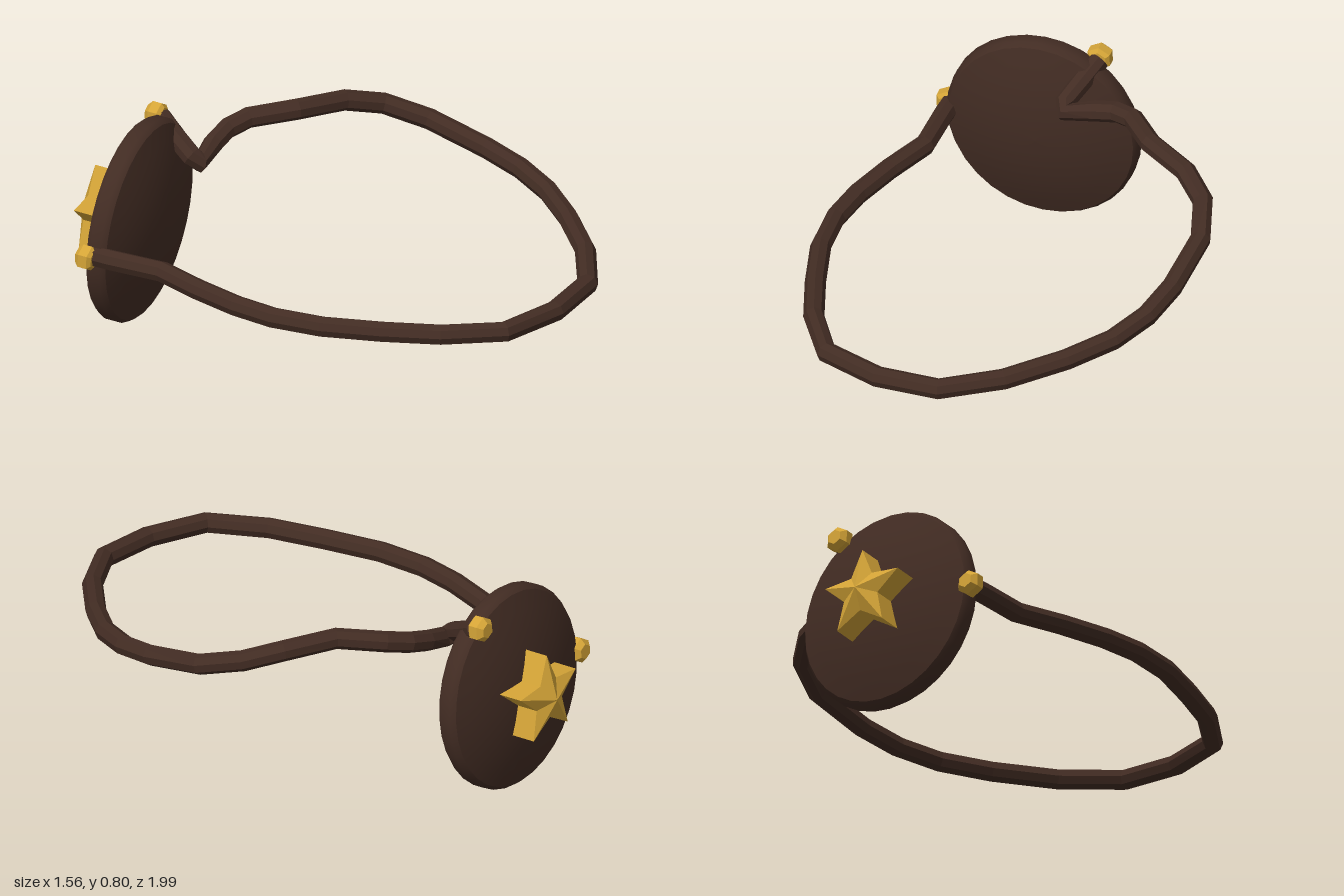
import * as THREE from 'three';

const leather = new THREE.MeshStandardMaterial({ color: 0x422c23, side: THREE.DoubleSide });
leather.name = 'dark brown leather';
const strapLeather = leather;
const gold = new THREE.MeshStandardMaterial({ color: 0xd4a437 });
gold.name = 'gold';

function part(name, geometry, material, parent) {
  const mesh = new THREE.Mesh(geometry, material);
  mesh.name = name;
  parent.add(mesh);
  return mesh;
}

// Surface of revolution around z
function turned(profile, sides) {
  const g = new THREE.LatheGeometry(profile.map(([r, z]) => new THREE.Vector2(r, z)), sides);
  return g.rotateX(Math.PI / 2);
}

// Facet every face of a geometry
function faceted(geometry) {
  const g = geometry.toNonIndexed();
  g.computeVertexNormals();
  return g;
}

// Shallow dome profile from rim height z0 to crown height z1
function dome(z0, z1, radius) {
  const pts = [];
  for (let i = 0; i <= 6; i++) {
    const r = radius * (1 - i / 6);
    pts.push([r, z1 + (z0 - z1) * (r / radius) ** 2]);
  }
  return pts;
}

// Five-pointed star with straight walls and a ridged, pointed face
function starGeometry(outer, inner, base, edge, apex) {
  const ring = (i, z) => {
    const a = Math.PI / 2 + (i * Math.PI) / 5;
    const r = i % 2 ? inner : outer;
    return [r * Math.cos(a), r * Math.sin(a), z];
  };
  const v = [];
  for (let i = 0; i < 10; i++) {
    const a = ring(i, base), b = ring(i + 1, base);
    const c = ring(i + 1, edge), d = ring(i, edge);
    v.push(...a, ...b, ...c, ...a, ...c, ...d);
    v.push(...d, ...c, 0, 0, apex);
    v.push(...b, ...a, 0, 0, base);
  }
  const g = new THREE.BufferGeometry();
  g.setAttribute('position', new THREE.Float32BufferAttribute(v, 3));
  g.computeVertexNormals();
  return g;
}

export function createModel() {
  const model = new THREE.Group();
  model.name = 'eyePatch';

  // Round patch, turned and leaning slightly
  const patch = new THREE.Group();
  patch.name = 'patch';
  patch.position.set(-0.36, 0.405, -0.77);
  patch.rotation.set(0.06, 0.262, 0, 'YXZ');
  model.add(patch);

  const disc = new THREE.Group();
  disc.name = 'disc';
  disc.scale.x = 0.945;
  patch.add(disc);
  part('innerDome', turned(dome(0.04, 0.11, 0.385), 32), leather, disc);
  part('outerDome', turned(dome(-0.04, -0.11, 0.385).reverse(), 32), leather, disc);
  part('rim', turned([[0.385, -0.04], [0.4, -0.02], [0.4, 0.02], [0.385, 0.04]], 32), leather, disc);

  // Star on the outer face
  const star = part('star', starGeometry(0.174, 0.08, 0.09, 0.195, 0.235), gold, patch);
  star.rotation.y = Math.PI;

  // Hexagonal studs holding the strap
  const studProfile = [[0, -0.035], [0.03, -0.035], [0.05, -0.015], [0.05, 0.02], [0.035, 0.033], [0, 0.033]];
  [[-0.385, 0, -0.03], [0.21, 0.335, -0.055]].forEach((p, i) => {
    const stud = part(i ? 'upperStud' : 'sideStud', faceted(turned(studProfile, 6)), gold, patch);
    stud.position.set(...p);
  });

  // Strap: one loop from the side stud round to the upper stud
  const path = [
    [-0.72, 0.41, -0.7], [-0.7, 0.41, -0.6], [-0.65, 0.41, -0.4], [-0.675, 0.41, -0.2],
    [-0.685, 0.41, 0], [-0.67, 0.41, 0.17], [-0.61, 0.412, 0.36], [-0.5, 0.415, 0.56],
    [-0.38, 0.42, 0.75], [-0.21, 0.425, 0.92], [0.04, 0.43, 0.95], [0.28, 0.44, 0.9],
    [0.46, 0.455, 0.73], [0.6, 0.475, 0.52], [0.69, 0.495, 0.34], [0.73, 0.52, 0.17],
    [0.73, 0.55, 0], [0.69, 0.605, -0.25], [0.6, 0.655, -0.4], [0.47, 0.69, -0.48],
    [0.27, 0.705, -0.54], [0.12, 0.69, -0.65], [0.03, 0.67, -0.675], [-0.06, 0.645, -0.665],
    [-0.17, 0.615, -0.635], [-0.19, 0.64, -0.66], [-0.175, 0.69, -0.76], [-0.16, 0.735, -0.84],
  ].map((p) => new THREE.Vector3(...p));
  const curve = new THREE.CatmullRomCurve3(path);
  // Place one ring on each path point
  curve.getPointAt = (t, target) => curve.getPoint(t, target);
  curve.getTangentAt = (t, target) => curve.getTangent(t, target);
  part('strap', faceted(new THREE.TubeGeometry(curve, path.length - 1, 0.04, 8)), strapLeather, model);

  return model;
}
